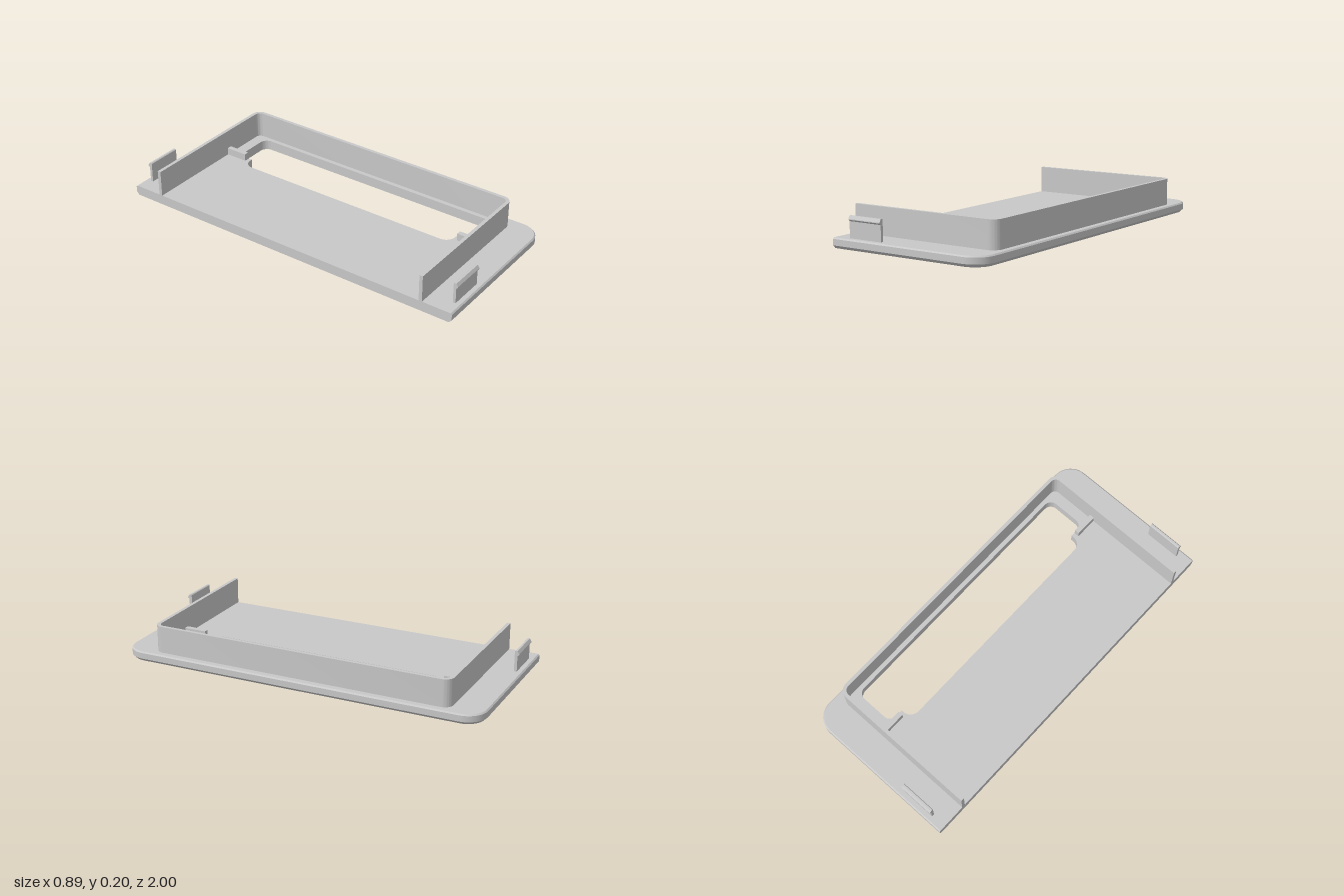
import * as THREE from 'three';
import { toCreasedNormals } from 'three/addons/utils/BufferGeometryUtils.js';

const LEFT = -0.445, RIGHT = 0.445;
const PLATE_TOP = 0.055, WALL_TOP = 0.2;

// Quarter arc of points, starting at a multiple of 90 degrees
function quarter(cx, cy, r, start, n = 12) {
  return Array.from({ length: n + 1 }, (_, i) => {
    const a = (start + i / n) * Math.PI / 2;
    return new THREE.Vector2(cx + r * Math.cos(a), cy + r * Math.sin(a));
  });
}

// Plan outline (x, -z): square on the open side, rounded on the other
function outline(right, half, r) {
  return [
    new THREE.Vector2(LEFT, -half),
    ...quarter(right - r, -half + r, r, 3),
    ...quarter(right - r, half - r, r, 0),
    new THREE.Vector2(LEFT, half),
  ];
}

// Stepped window with rounded corners, clockwise
function windowPoints() {
  const x0 = 0.068, x1 = 0.136, x2 = 0.365, zIn = 0.668, zOut = 0.753, r = 0.043, R = 0.055;
  return [
    new THREE.Vector2(x1, -zIn),
    ...quarter(x1 + r, -zOut + r, r, 2),
    ...quarter(x2 - r, -zOut + r, r, 3),
    ...quarter(x2 - r, zOut - r, r, 0),
    ...quarter(x1 + r, zOut - r, r, 1),
    new THREE.Vector2(x1, zIn),
    ...quarter(x0 + R, zIn - R, R, 1),
    ...quarter(x0 + R, -zIn + R, R, 2),
  ].reverse();
}

// Plate built from stacked outlines, with the window cut through
function plateGeometry() {
  const pos = [];
  const put = (p, y) => pos.push(p.x, y, -p.y);
  const band = (lo, y0, hi, y1) => lo.forEach((a, i) => {
    const j = (i + 1) % lo.length;
    put(a, y0); put(lo[j], y0); put(hi[j], y1);
    put(a, y0); put(hi[j], y1); put(hi[i], y1);
  });
  const cap = (loop, hole, y, up) => {
    const all = [...loop, ...hole];
    for (const [a, b, c] of THREE.ShapeUtils.triangulateShape([...loop], [[...hole]])) {
      for (const k of up ? [a, b, c] : [a, c, b]) put(all[k], y);
    }
  };
  // Height and inset of each level: lower chamfer, side, small upper chamfer
  const levels = [[0, 0.016], [0.016, 0], [0.048, 0], [PLATE_TOP, 0.007]];
  const loops = levels.map(([, d]) => outline(RIGHT - d, 1 - d, 0.11 - d));
  for (let i = 0; i < 3; i++) band(loops[i], levels[i][0], loops[i + 1], levels[i + 1][0]);
  const hole = windowPoints();
  band(hole, 0, hole, PLATE_TOP);
  cap(loops[0], hole, 0, false);
  cap(loops[3], hole, PLATE_TOP, true);
  const g = new THREE.BufferGeometry();
  g.setAttribute('position', new THREE.Float32BufferAttribute(pos, 3));
  return toCreasedNormals(g, 0.5);
}

// Thin U-shaped wall
function wallGeometry() {
  const outer = outline(0.408, 0.833, 0.05);
  const inner = outline(0.389, 0.814, 0.031).reverse();
  const g = new THREE.ExtrudeGeometry(new THREE.Shape([...outer, ...inner]),
    { depth: WALL_TOP - PLATE_TOP, bevelEnabled: false });
  g.rotateX(-Math.PI / 2).translate(0, PLATE_TOP, 0);
  return toCreasedNormals(g, 0.5);
}

// Upright clip with an outward-facing hooked lip, profile in (z, y)
function clipGeometry() {
  const profile = [[0.954, 0.05], [0.969, 0.05], [0.969, 0.139], [0.978, 0.147],
    [0.978, 0.151], [0.968, 0.167], [0.958, 0.167], [0.954, 0.163]];
  const s = new THREE.Shape(profile.map(([z, y]) => new THREE.Vector2(z, y)));
  const g = new THREE.ExtrudeGeometry(s, { depth: 0.196, bevelEnabled: false });
  return g.rotateY(-Math.PI / 2).translate(-0.167, 0, 0);
}

export function createModel() {
  const group = new THREE.Group();
  const grey = new THREE.MeshStandardMaterial({ color: 0xc8c8c8 });
  grey.name = 'grey plastic';
  const add = (name, geometry) => {
    const m = new THREE.Mesh(geometry, grey);
    m.name = name;
    group.add(m);
    return m;
  };

  add('basePlate', plateGeometry());
  add('rimWall', wallGeometry());

  // Clips and support ribs, one at each end
  for (const [side, sign] of [['front', 1], ['back', -1]]) {
    const clip = add(side + 'Clip', clipGeometry());
    if (sign < 0) {
      clip.rotation.y = Math.PI;
      clip.position.x = -0.53;
    }
    const rib = add(side + 'Rib', new THREE.BoxGeometry(0.027, 0.045, 0.13));
    rib.position.set(0.119, PLATE_TOP + 0.0175, sign * 0.755);
  }
  return group;
}
